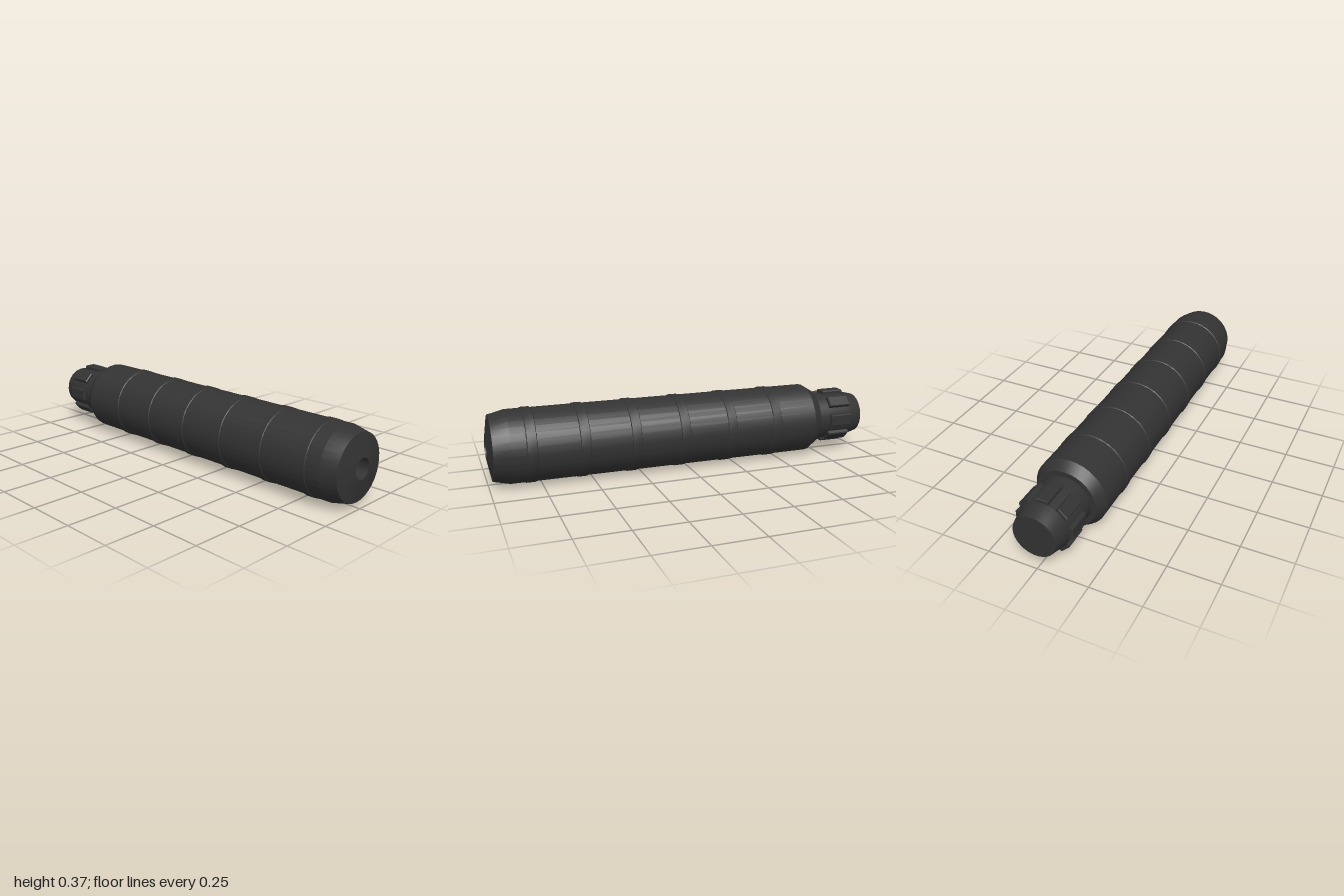
import * as THREE from 'three';
import { toCreasedNormals } from 'three/addons/utils/BufferGeometryUtils.js';

const AXIS_Y = 0.184;

export function createModel() {
  const model = new THREE.Group();
  model.name = 'cylindricalTube';
  const black = new THREE.MeshStandardMaterial({ color: 0x333333 });
  black.name = 'matteBlack';

  // All parts are built along the long axis (x) and lifted to stand on the ground
  const tube = new THREE.Group();
  tube.name = 'tube';
  tube.position.y = AXIS_Y;
  model.add(tube);

  // Turns a profile of [x, radius] pairs around the x axis
  function turned(name, profile, sides = 24) {
    const points = profile.map(([x, r]) => new THREE.Vector2(r, x));
    const geometry = toCreasedNormals(new THREE.LatheGeometry(points, sides), 0.3);
    geometry.rotateZ(-Math.PI / 2);
    const mesh = new THREE.Mesh(geometry, black);
    mesh.name = name;
    tube.add(mesh);
    return mesh;
  }

  // Main body with chamfered ends and a recessed bore in the slightly domed end
  turned('body', [
    [-0.73, 0], [-0.73, 0.15], [-0.68, 0.18], [0.9, 0.18],
    [0.98, 0.161], [1.0, 0.051], [0.94, 0.051], [0.94, 0],
  ], 32);

  // Shallow raised bands
  for (let i = 0; i < 6; i++) {
    const x = -0.457 + i * 0.252;
    turned('band', [[x - 0.027, 0.178], [x - 0.022, 0.184], [x + 0.022, 0.184], [x + 0.027, 0.178]]);
  }

  // Narrow rear collar, tapered towards its closed end
  turned('collar', [[-1.0, 0], [-1.0, 0.105], [-0.92, 0.125], [-0.72, 0.125]], 32);

  // Eight grip lugs, with their outer faces drawn in to form a bevel
  const lugGeometry = new THREE.BoxGeometry(0.12, 0.03, 0.06, 1, 2, 1);
  const p = lugGeometry.attributes.position;
  for (let i = 0; i < p.count; i++) {
    const y = p.getY(i);
    if (y > 0.01) {
      p.setX(i, p.getX(i) * 0.94);
      p.setZ(i, p.getZ(i) * 0.87);
    } else if (y > -0.01) {
      p.setY(i, 0.01);
    }
  }
  lugGeometry.translate(-0.86, 0.126, 0);
  const lugShape = toCreasedNormals(lugGeometry, 0.3);
  for (let i = 0; i < 8; i++) {
    const lug = new THREE.Mesh(lugShape, black);
    lug.name = 'gripLug';
    lug.rotation.x = (i * Math.PI) / 4;
    tube.add(lug);
  }

  return model;
}
